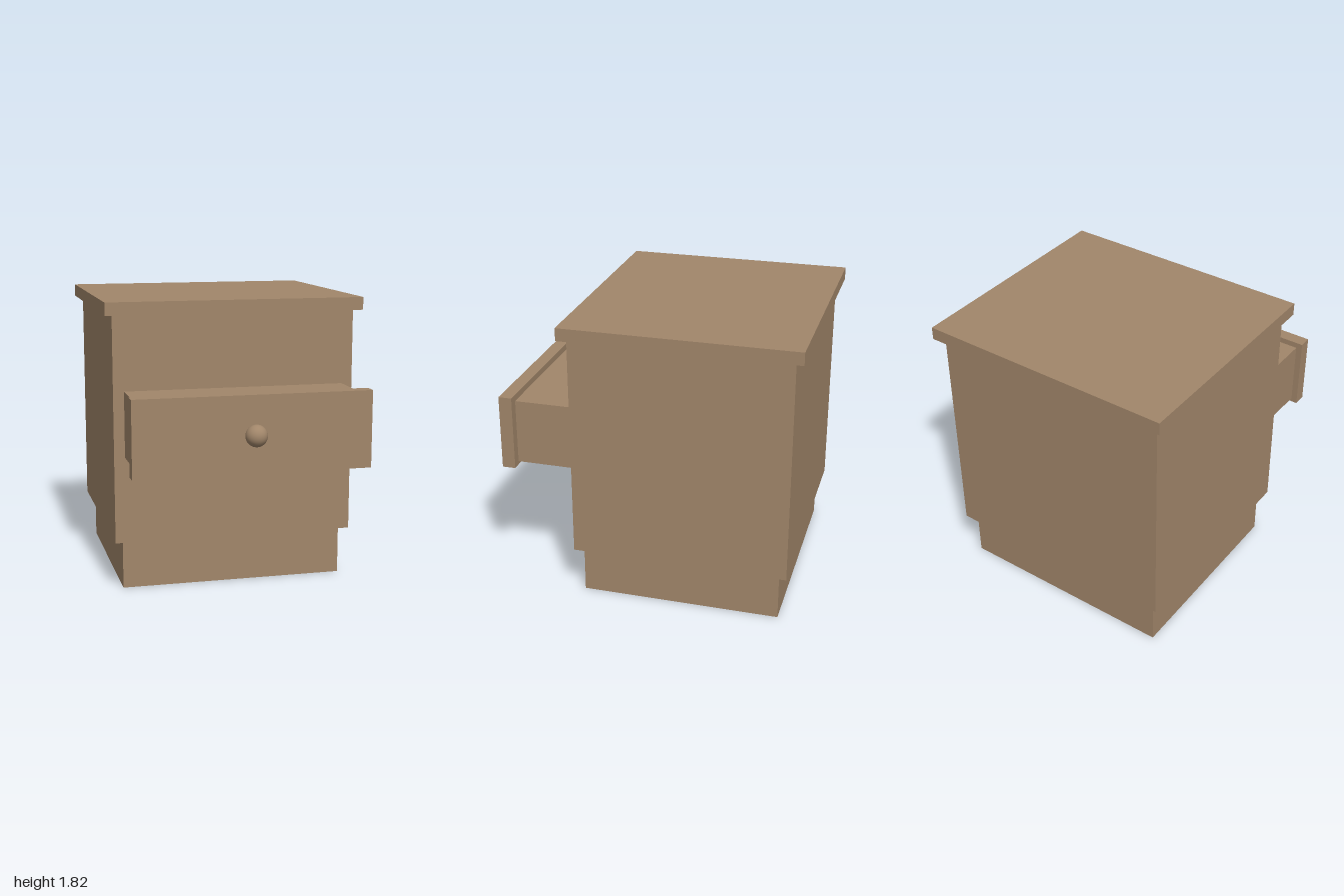
import * as THREE from 'three';

export function createModel() {
  const group = new THREE.Group();
  group.name = 'nightstand';
  const wood = new THREE.MeshStandardMaterial({ color: 0xa1866a });
  wood.name = 'wood';

  // Box given by its full width and its y and z ranges
  function board(name, width, y0, y1, z0, z1, parent = group) {
    const mesh = new THREE.Mesh(new THREE.BoxGeometry(width, y1 - y0, z1 - z0), wood);
    mesh.position.set(0, (y0 + y1) / 2, (z0 + z1) / 2);
    mesh.name = name;
    parent.add(mesh);
    return mesh;
  }

  // Cabinet
  board('plinth', 1.43, 0, 0.31, -0.895, 0.37);
  board('body', 1.536, 0.31, 1.74, -0.948, 0.42);
  board('top', 1.634, 1.74, 1.82, -1, 0.47);

  // Open drawer, its front standing just clear of the box
  const drawer = new THREE.Group();
  drawer.name = 'drawer';
  group.add(drawer);
  board('drawerBox', 1.4, 0.857, 1.27, 0.41, 0.796, drawer);
  board('drawerFront', 1.47, 0.823, 1.3, 0.806, 0.89, drawer);

  // Round knob
  const knob = new THREE.Mesh(new THREE.SphereGeometry(0.067, 32, 16), wood);
  knob.position.set(0, 1.063, 0.933);
  knob.name = 'knob';
  drawer.add(knob);

  return group;
}
